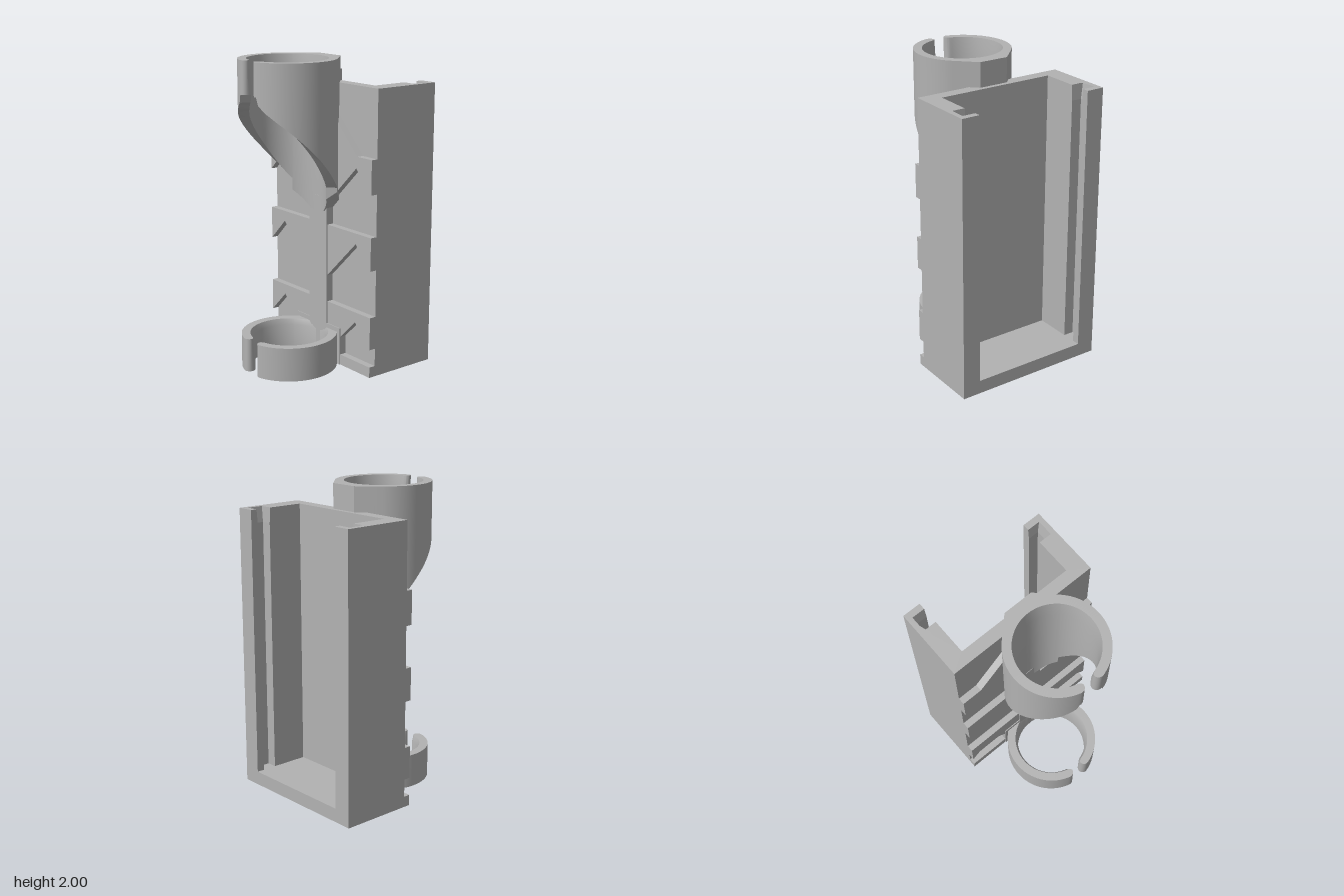
import * as THREE from 'three';
import { toCreasedNormals } from 'three/addons/utils/BufferGeometryUtils.js';

const AXIS_Z = 0.225, R_OUT = 0.31, R_IN = 0.24;
const FIN = 0.81;                    // half angle of the fin under the upper sleeve
const END = Math.PI - 0.268;         // angle where the rounded clip tips begin

// outer radius: a circle with a truncated teardrop at the back (angle 0 = back)
function outerRadius(a) {
  a = Math.abs(a);
  if (a > Math.PI / 4) return R_OUT;
  return Math.min(0.34 / Math.cos(a), R_OUT / Math.cos(Math.PI / 4 - a));
}

// stations around the clip, each with an angle and a thickness factor
function clipStations() {
  const half = [0.1, 0.2, 0.281, 0.4, 0.52, 0.65, Math.PI / 4, FIN, FIN + 0.002].map(a => [a, 1]);
  for (let i = 1; i <= 40; i++) half.push([FIN + (END - FIN) * i / 40, 1]);
  for (let i = 1; i <= 6; i++) {
    const t = i / 6 * Math.PI / 2;
    half.push([END + 0.125 * Math.sin(t), Math.cos(t)]);
  }
  return [...half.map(([a, w]) => [-a, w]).reverse(), [0, 1], ...half];
}

// C-shaped clip; bottom(angle, x, zOuter) gives the height of its lower edge
function clipGeometry(top, taper, bottom) {
  const pos = [], idx = [], stations = clipStations(), mid = (R_OUT + R_IN) / 2;
  stations.forEach(([a, w], j) => {
    const s = Math.sin(a), c = -Math.cos(a);
    const ro = mid + (outerRadius(a) - mid) * w;
    const ri = mid - (mid - R_IN) * w;
    const rt = mid - (mid - R_IN - 0.014) * w;
    const zo = AXIS_Z + R_OUT * c;
    const section = [
      [ro, bottom(a, ro * s, zo)], [ro, top], [rt, top], [ri, top - taper], [ri, bottom(a, ri * s, zo)],
    ];
    section.forEach(([r, y]) => pos.push(r * s, y, AXIS_Z + r * c));
    if (j === stations.length - 1) return;
    for (let k = 0; k < 5; k++) {
      const p = j * 5 + k, q = j * 5 + (k + 1) % 5;
      idx.push(p, q, p + 5, q, q + 5, p + 5);
    }
  });
  const g = new THREE.BufferGeometry();
  g.setAttribute('position', new THREE.Float32BufferAttribute(pos, 3));
  g.setIndex(idx);
  return toCreasedNormals(g, 0.5);
}

// lower edge of the upper sleeve: sweeping side cut, then a pointed fin at the back
const CUT = [[0.01, 1.19], [0.06, 1.24], [0.22, 1.41], [0.4, 1.585], [0.46, 1.645],
  [0.5, 1.695], [0.525, 1.75], [0.535, 1.79]];
function sleeveBottom(a, x, z) {
  if (Math.abs(a) <= FIN) return Math.max(1, 0.94 + Math.abs(x));
  if (Math.abs(a) >= END) return 1.79;
  for (let i = 1; i < CUT.length; i++) {
    const [z0, y0] = CUT[i - 1], [z1, y1] = CUT[i];
    if (z <= z1) return y0 + (y1 - y0) * Math.max(0, (z - z0) / (z1 - z0));
  }
  return 1.79;
}

function shapeOf(points) {
  return new THREE.Shape(points.map(([x, y]) => new THREE.Vector2(x, y)));
}

export function createModel() {
  const model = new THREE.Group();
  const grey = new THREE.MeshStandardMaterial({ color: 0xb2b2b2 });
  grey.name = 'plainGrey';

  const add = (name, geometry, parent = model) => {
    const m = new THREE.Mesh(geometry, grey);
    m.name = name;
    parent.add(m);
    return m;
  };
  const box = (name, x, y0, y1, z0, z1) => {
    const m = add(name, new THREE.BoxGeometry(2 * x, y1 - y0, z1 - z0));
    m.position.set(0, (y0 + y1) / 2, (z0 + z1) / 2);
  };

  // holder: floor and a channel with a guide slot in each side wall
  const W = 0.515, BACK = 0.535, FRONT = 0.065;
  box('holderFloor', W, 0, 0.09, -BACK, -FRONT);
  const side = [[W, FRONT], [W, BACK], [0.395, BACK], [0.395, 0.484], [0.465, 0.484],
    [0.465, 0.391], [0.395, 0.391], [0.395, 0.145]];
  const channel = shapeOf([...side, ...side.map(([x, y]) => [-x, y]).reverse()]);
  const channelPart = (y0, y1, flared) => {
    const g = new THREE.ExtrudeGeometry(channel, { depth: y1 - y0, bevelEnabled: false });
    g.rotateX(-Math.PI / 2);
    const p = g.attributes.position;
    // widen the mouth of the slots at the top
    for (let i = 0; flared && i < p.count; i++) {
      const x = p.getX(i), z = p.getZ(i);
      if (p.getY(i) < 0.01 || z < -0.5 || z > -0.38) continue;
      if (Math.abs(x) > 0.45) p.setX(i, Math.sign(x) * 0.481);
      p.setZ(i, z < -0.44 ? -0.492 : -0.385);
    }
    g.computeVertexNormals();
    g.translate(0, y0, 0);
    return g;
  };
  add('holderWalls', channelPart(0.09, 1.74, false));
  add('holderMouth', channelPart(1.74, 1.84, true));

  // raised front panels with notched lower edges, mirrored left and right
  const panels = new THREE.Group();
  panels.name = 'frontPanels';
  model.add(panels);
  const notch = y => [[0.08, y - 0.135], [0.37, y + 0.145], [W, y]];
  const outlines = [
    [...notch(0.187), [W, 0.4], [0.08, 0.4]],
    [...notch(0.705), [W, 0.92], [0.08, 0.92]],
    [[0, 1.05], ...notch(1.19), [W, 1.41], [0.38, 1.41], [0.15, 1.64], [0, 1.64]],
  ];
  for (const outline of outlines) {
    for (const s of [1, -1]) {
      const g = new THREE.ExtrudeGeometry(shapeOf(outline.map(([x, y]) => [s * x, y])),
        { depth: 0.047, bevelEnabled: false });
      g.translate(0, 0, -0.067);
      add(s > 0 ? 'leftPanel' : 'rightPanel', g, panels);
    }
  }
  box('bottomBand', W, 0, 0.07, -0.067, -0.02);
  box('centreRib', 0.09, 0.2, 1.1, -0.067, -0.012);
  box('lowerClipBase', 0.225, 0, 0.25, -0.067, -0.014);

  // clips that grip a round rod
  add('lowerClip', clipGeometry(0.22, 0.04, () => 0));
  add('upperSleeve', clipGeometry(2, 0.12, sleeveBottom));
  return model;
}
